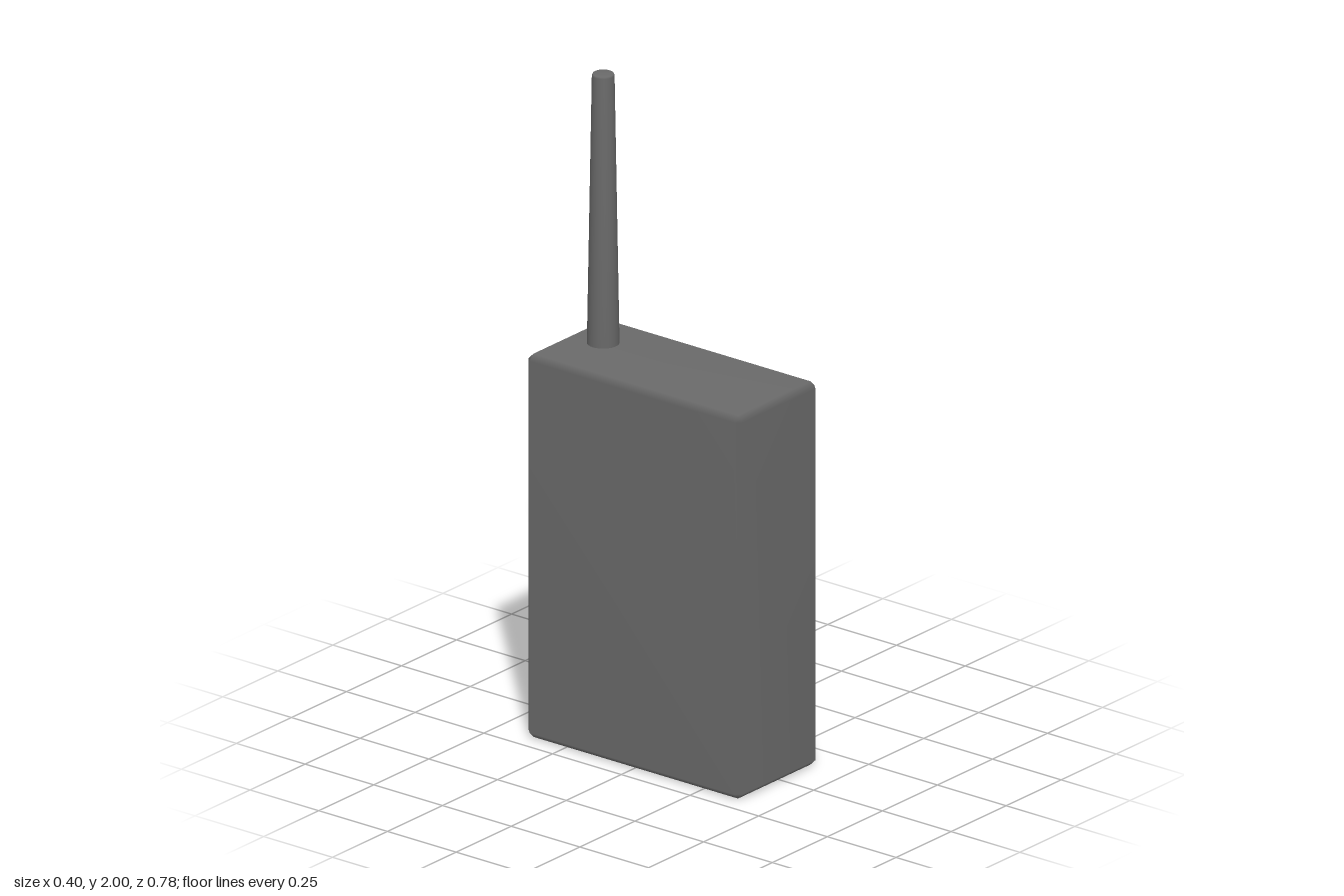
import * as THREE from 'three';
import { ConvexGeometry } from 'three/addons/geometries/ConvexGeometry.js';
import { mergeVertices } from 'three/addons/utils/BufferGeometryUtils.js';

const material = (color) => new THREE.MeshStandardMaterial({ color });

// Box between two corners with every edge chamfered by c, softly shaded
function chamferedBox(min, max, c) {
  const box = new THREE.Box3(new THREE.Vector3(...min), new THREE.Vector3(...max));
  const centre = box.getCenter(new THREE.Vector3());
  const half = box.getSize(new THREE.Vector3()).multiplyScalar(0.5);
  const points = [];
  for (const sx of [-1, 1]) for (const sy of [-1, 1]) for (const sz of [-1, 1]) {
    for (const axis of ['x', 'y', 'z']) {
      const p = half.clone().subScalar(c);
      p[axis] += c;
      points.push(p.multiply(new THREE.Vector3(sx, sy, sz)).add(centre));
    }
  }
  let geometry = new ConvexGeometry(points);
  geometry.deleteAttribute('normal');
  geometry = mergeVertices(geometry, 1e-5);
  geometry.computeVertexNormals();
  return geometry;
}

// Turned shape from [radius, height] pairs
function turned(profile, segments) {
  return new THREE.LatheGeometry(profile.map(([r, y]) => new THREE.Vector2(r, y)), segments);
}

export function createModel() {
  const model = new THREE.Group();
  model.name = 'handheldRadio';
  const add = (name, geometry, mat) => {
    const mesh = new THREE.Mesh(geometry, mat);
    mesh.name = name;
    model.add(mesh);
    return mesh;
  };
  const dark = material(0x6a6a6a);

  // Case
  add('body', chamferedBox([-0.202, 0, -0.39], [0.163, 1.175, 0.39], 0.018), dark);

  // Raised display panel on the right-hand face
  add('screen', chamferedBox([0.1, 0.762, -0.322], [0.187, 1.098, 0.322], 0.015), material(0xcccccc));

  // Round speaker disc with a chamfered rim
  const speaker = add('speaker', turned([[0, 0], [0.326, 0], [0.326, 0.085], [0.308, 0.102], [0, 0.102]], 64), material(0xcc1010));
  speaker.rotation.z = -Math.PI / 2;
  speaker.position.set(0.1, 0.4, 0);

  // Tapered antenna near the back edge
  const antenna = add('antenna', turned([[0, 0], [0.047, 0], [0.0325, 0.845], [0.03, 0.85], [0, 0.85]], 32), dark);
  antenna.position.set(0.005, 1.15, -0.27);

  return model;
}
